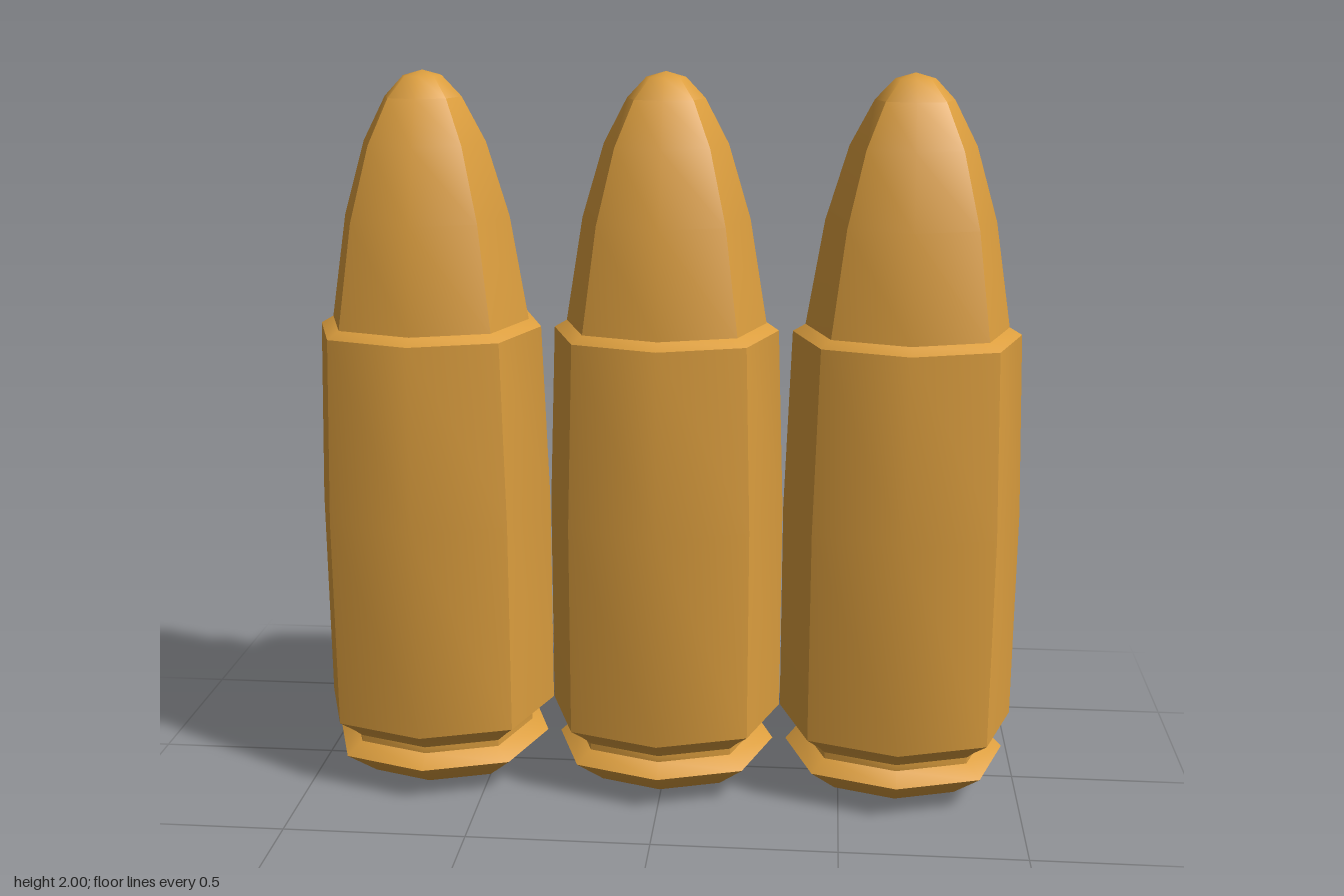
import * as THREE from 'three';
import { toCreasedNormals } from 'three/addons/utils/BufferGeometryUtils.js';

const brass = new THREE.MeshStandardMaterial({ color: 0xdc9e3e });
brass.name = 'brass';

// Eight-sided turned part; the diagonal corners stand out a little further
function turned(name, profile) {
  const points = profile.map(([r, y]) => new THREE.Vector2(r, y));
  const geometry = new THREE.LatheGeometry(points, 8);
  const pos = geometry.attributes.position;
  for (let i = 0; i < pos.count; i++) {
    const x = pos.getX(i), z = pos.getZ(i);
    if (Math.abs(x) > 0.005 && Math.abs(z) > 0.005) {
      pos.setX(i, x * 1.058);
      pos.setZ(i, z * 1.058);
    }
  }
  const mesh = new THREE.Mesh(toCreasedNormals(geometry, 0.75), brass);
  mesh.name = name;
  return mesh;
}

// Profiles as [radius, height], bottom to top
const caseProfile = [
  [0, 0.005], [0.222, 0.03], [0.309, 0.1], [0.262, 0.132], [0.262, 0.15], [0.285, 0.172],
  [0.327, 0.205], [0.327, 0.8], [0.309, 1.305], [0.275, 1.325],
];
const tipProfile = [
  [0.275, 1.325], [0.228, 1.61], [0.168, 1.81], [0.105, 1.93], [0.053, 1.985], [0, 2],
];

export function createModel() {
  const model = new THREE.Group();
  model.name = 'cartridges';
  // Three identical cartridges in a row
  for (const [name, x] of [['rightCartridge', -0.656], ['middleCartridge', 0], ['leftCartridge', 0.656]]) {
    const cartridge = new THREE.Group();
    cartridge.name = name;
    cartridge.add(turned('case', caseProfile), turned('bulletTip', tipProfile));
    cartridge.position.x = x;
    model.add(cartridge);
  }
  return model;
}
